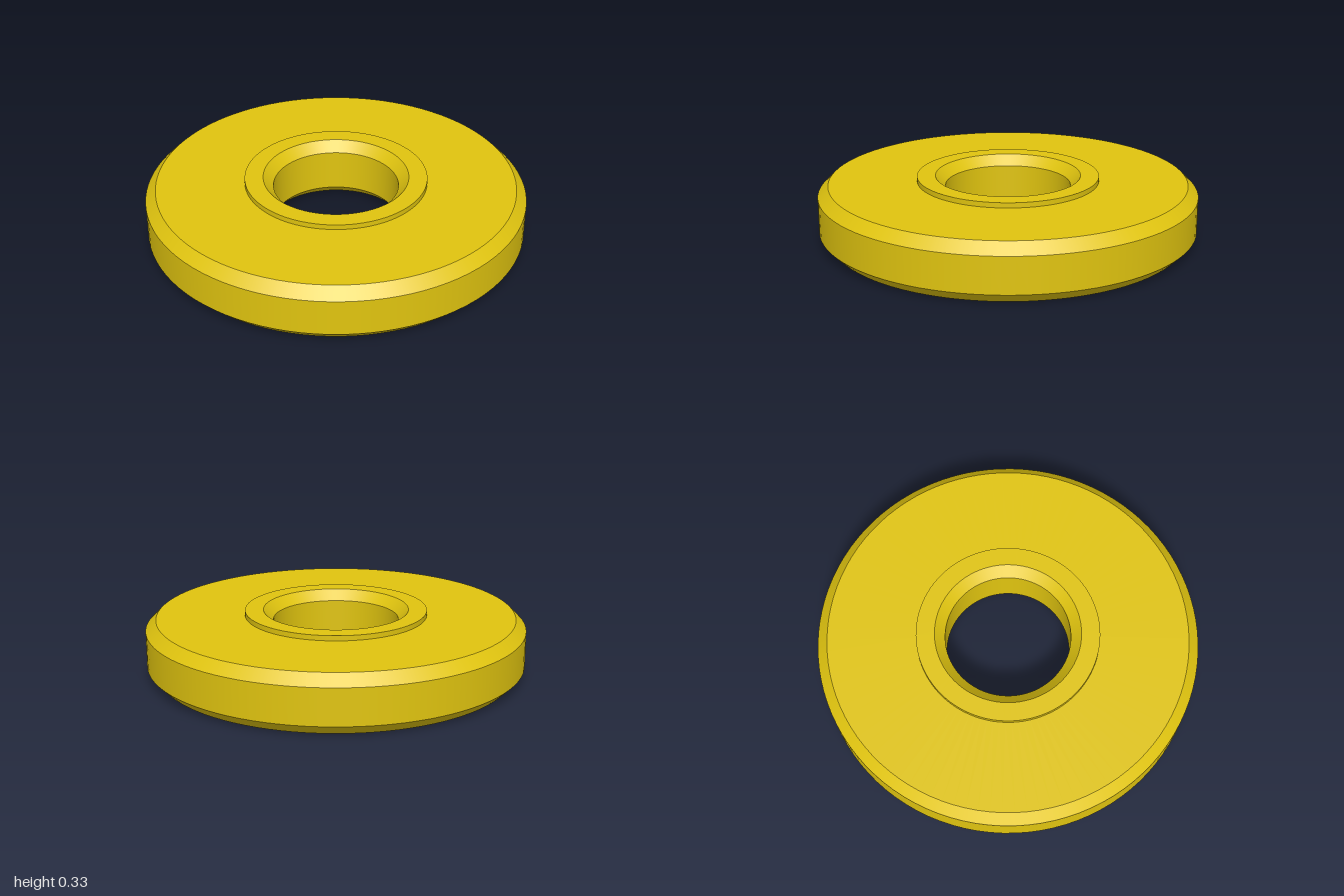
import * as THREE from 'three';
import { mergeGeometries } from 'three/addons/utils/BufferGeometryUtils.js';

const SEGMENTS = 96;
const RIM = 0.945;           // radius of the flat faces inside the rim chamfer
const BORE_MOUTH = 0.383;    // radius of the bore at its chamfered mouths
const POCKET = 0.195;        // radius of a pocket at its mouth
const POCKET_CIRCLE = 0.718; // distance of the pockets from the axis

// Revolve each profile segment on its own so the edges between them stay sharp
function sharpLathe(profile) {
  const bands = [];
  for (let i = 0; i < profile.length - 1; i++) {
    const pair = [profile[i], profile[i + 1]].map(([r, y]) => new THREE.Vector2(r, y));
    bands.push(new THREE.LatheGeometry(pair, SEGMENTS));
  }
  return mergeGeometries(bands);
}

export function createModel() {
  const yellow = new THREE.MeshStandardMaterial({ color: 0xe0c40f });
  yellow.name = 'yellow';
  const group = new THREE.Group();
  group.name = 'wheelDisc';

  const add = (name, geometry) => {
    const mesh = new THREE.Mesh(geometry, yellow);
    mesh.name = name;
    group.add(mesh);
    return mesh;
  };

  // Chamfered rim and flat top
  add('discBody', sharpLathe([[RIM, 0], [1, 0.055], [1, 0.245], [RIM, 0.3], [0.48, 0.3]]));

  // Low raised ring around the bore
  add('hubRing', sharpLathe([[0.48, 0.3], [0.48, 0.327], [BORE_MOUTH, 0.327]]));

  // Through bore, chamfered at both ends
  add('bore', sharpLathe([[BORE_MOUTH, 0.327], [0.33, 0.274], [0.33, 0.053], [BORE_MOUTH, 0]]));

  // Underside with openings for the bore and the pockets
  const underside = new THREE.Shape().absarc(0, 0, RIM, 0, Math.PI * 2);
  const cutHole = (x, y, r) =>
    underside.holes.push(new THREE.Path().absarc(x, y, r, 0, Math.PI * 2, true));
  cutHole(0, 0, BORE_MOUTH);

  // Six blind pockets with chamfered mouths
  const pocketGeometry = sharpLathe([[0, 0.195], [0.155, 0.195], [0.155, 0.04], [POCKET, 0]]);
  for (let i = 0; i < 6; i++) {
    const angle = Math.PI / 6 + (i * Math.PI) / 3;
    const x = Math.cos(angle) * POCKET_CIRCLE;
    const z = Math.sin(angle) * POCKET_CIRCLE;
    cutHole(x, z, POCKET);
    add('pocket' + (i + 1), pocketGeometry).position.set(x, 0, z);
  }
  add('underside', new THREE.ShapeGeometry(underside, SEGMENTS).rotateX(Math.PI / 2));

  return group;
}
